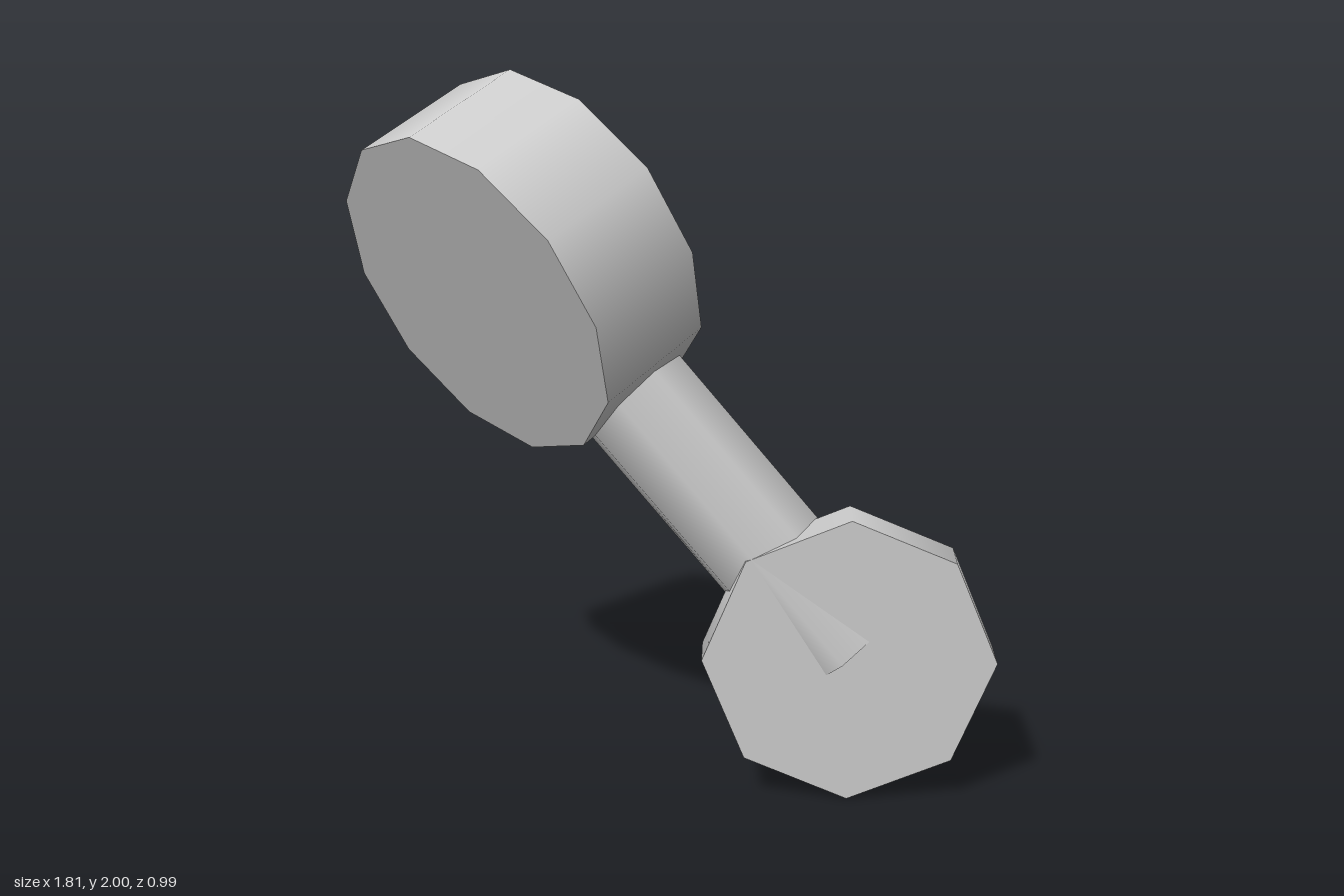
import * as THREE from 'three';

const grey = new THREE.MeshStandardMaterial({ color: 0xcccccc });
grey.name = 'light grey';

// Cylinder between two points, with one corner line lying horizontally to the side
function rod(name, from, to, radius, sides) {
  const a = new THREE.Vector3(...from);
  const b = new THREE.Vector3(...to);
  const axis = b.clone().sub(a);
  const geometry = new THREE.CylinderGeometry(radius, radius, axis.length(), sides);
  const up = axis.clone().normalize();
  const side = Math.abs(up.y) > 0.999
    ? new THREE.Vector3(1, 0, 0)
    : new THREE.Vector3(0, 1, 0).cross(up).normalize();
  const forward = side.clone().cross(up);
  geometry.applyMatrix4(new THREE.Matrix4().makeBasis(side, up, forward));
  const mesh = new THREE.Mesh(geometry, grey);
  mesh.name = name;
  mesh.position.copy(a).add(b).multiplyScalar(0.5);
  return mesh;
}

export function createModel() {
  const model = new THREE.Group();
  model.name = 'mallet';
  model.add(
    // Tilted twelve-sided drum
    rod('head', [-0.53, 1.395, 0.125], [-0.29, 1.545, -0.12], 0.497, 12),
    // Handle from the centre of the head to the back of the foot disc
    rod('handle', [-0.41, 1.47, 0.0025], [0.5, 0.408, 0.11], 0.173, 8),
    // Upright eight-sided disc
    rod('footDisc', [0.5, 0.408, 0.11], [0.5, 0.408, 0.252], 0.407, 8),
  );
  return model;
}
